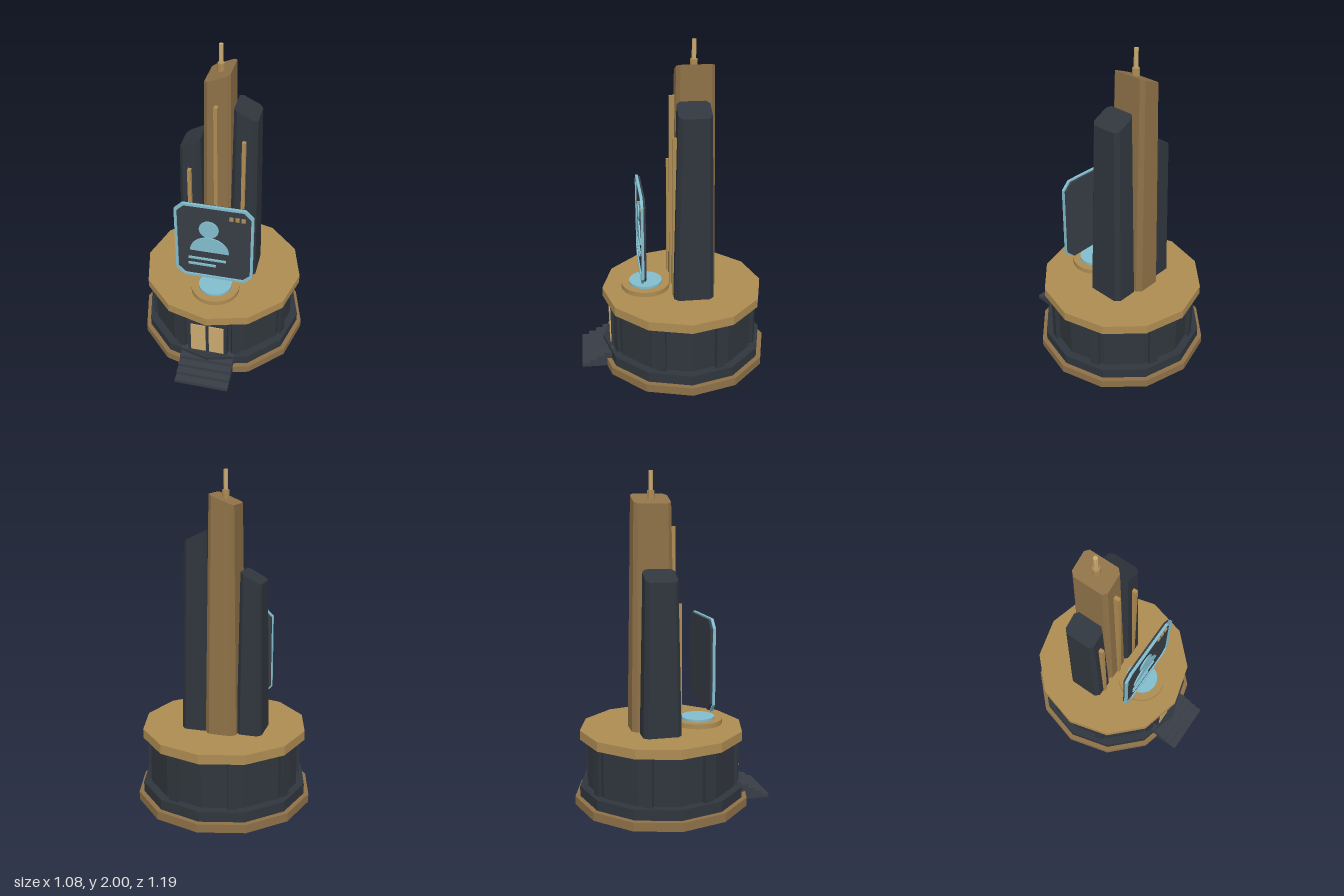
import * as THREE from 'three';
import { toCreasedNormals } from 'three/addons/utils/BufferGeometryUtils.js';

const flat = (name, color) => {
  const m = new THREE.MeshStandardMaterial({ color });
  m.name = name;
  return m;
};

export function createModel() {
  const bronze = flat('bronze', 0x8e7148);
  const gold = flat('gold', 0xae8c52);
  const paleGold = flat('pale gold', 0xcaa970);
  const charcoal = flat('charcoal', 0x30363d);
  const slate = flat('slate', 0x383d46);
  const cyan = flat('cyan', 0x82bdcd);

  const model = new THREE.Group();
  model.name = 'towerMonument';
  const CZ = -0.055; // centre of the round podium

  const add = (name, geometry, material, x = 0, y = 0, z = 0) => {
    const mesh = new THREE.Mesh(toCreasedNormals(geometry, 0.4), material);
    mesh.name = name;
    mesh.position.set(x, y, z);
    model.add(mesh);
    return mesh;
  };
  // Box given by its extents
  const box = (name, material, x0, x1, y0, y1, z0, z1) =>
    add(name, new THREE.BoxGeometry(x1 - x0, y1 - y0, z1 - z0), material,
      (x0 + x1) / 2, (y0 + y1) / 2, (z0 + z1) / 2);
  // Upright disc from y0 to y1
  const disc = (name, material, r, y0, y1, sides, x = 0, z = CZ) =>
    add(name, new THREE.CylinderGeometry(r, r, y1 - y0, sides), material, x, (y0 + y1) / 2, z);
  // Rectangle with cut corners
  const cutRect = (w, h, c, Type = THREE.Shape) => new Type([
    [-w + c, -h], [w - c, -h], [w, -h + c], [w, h - c],
    [w - c, h], [-w + c, h], [-w, h - c], [-w, -h + c],
  ].map(([x, y]) => new THREE.Vector2(x, y)));
  const extrude = (shape, depth) =>
    new THREE.ExtrudeGeometry(shape, { depth, bevelEnabled: false, curveSegments: 24 });

  // Twelve-sided podium
  disc('basePlinth', bronze, 0.54, 0, 0.052, 12);
  disc('lowerRing', charcoal, 0.51, 0.052, 0.115, 12);
  disc('podiumWall', charcoal, 0.46, 0.115, 0.408, 12);
  disc('podiumRoof', gold, 0.505, 0.408, 0.465, 12);

  // Eight wall pillars
  for (let i = 0; i < 8; i++) {
    const a = (i + 0.5) * Math.PI / 4;
    const pillar = add('wallPillar', new THREE.BoxGeometry(0.055, 0.293, 0.055), charcoal,
      Math.sin(a) * 0.445, 0.2615, CZ + Math.cos(a) * 0.445);
    pillar.rotation.y = a;
  }

  // Entrance
  box('doorFrame', charcoal, -0.125, 0.125, 0.1, 0.38, 0.3, 0.407);
  for (const s of [-1, 1]) {
    add('doorPanel', new THREE.BoxGeometry(0.095, 0.225, 0.008), paleGold, s * 0.058, 0.243, 0.41);
  }
  for (let i = 0; i < 5; i++) {
    box('step', slate, -0.17, 0.17, i * 0.0235, (i + 1) * 0.0235, 0.38, 0.595 - i * 0.046);
  }

  // Tapered towers with cut corners and slanted tops
  const tower = (name, material, x, z, base, top, cut, yLeft, yRight) => {
    const g = extrude(cutRect(base[0], base[1], cut), 1);
    g.rotateX(-Math.PI / 2);
    const p = g.attributes.position;
    for (let i = 0; i < p.count; i++) {
      const t = p.getY(i);
      const px = p.getX(i) * (t > 0.5 ? top[0] / base[0] : 1);
      const pz = p.getZ(i) * (t > 0.5 ? top[1] / base[1] : 1);
      const roof = (yLeft + yRight) / 2 + (yRight - yLeft) / 2 * px / top[0];
      p.setXYZ(i, px, t > 0.5 ? roof : 0.46, pz);
    }
    add(name, g, material, x, 0, z);
  };
  tower('centreTower', bronze, -0.032, -0.125, [0.094, 0.135], [0.074, 0.111], 0.027, 1.81, 1.87);
  tower('rightTower', charcoal, -0.196, -0.105, [0.077, 0.115], [0.062, 0.096], 0.025, 1.37, 1.437);
  tower('leftTower', charcoal, 0.134, -0.105, [0.088, 0.122], [0.069, 0.097], 0.027, 1.667, 1.6);

  // Light strips on the tower fronts
  for (const [x, top] of [[-0.032, 1.68], [-0.195, 1.24], [0.133, 1.475]]) {
    box('towerStrip', gold, x - 0.011, x + 0.011, 0.465, top, -0.025, 0.022);
  }

  // Antenna
  disc('antennaCollar', gold, 0.022, 1.8, 1.888, 8, -0.03, -0.122);
  disc('antennaRod', paleGold, 0.013, 1.85, 2, 8, -0.03, -0.122);

  // Projector pedestal
  disc('projectorPedestal', gold, 0.152, 0.465, 0.495, 24, 0, 0.177);
  disc('projectorLens', cyan, 0.104, 0.495, 0.51, 32, 0, 0.177);

  // Floating display panel
  const SY = 0.865;
  add('displayPanel', extrude(cutRect(0.232, 0.272, 0.048), 0.02), slate, 0, SY, 0.187);
  const rim = cutRect(0.24, 0.28, 0.05);
  rim.holes.push(cutRect(0.224, 0.264, 0.044, THREE.Path));
  add('displayRim', extrude(rim, 0.016), cyan, 0, SY, 0.2);

  // Portrait icon and lines on the display
  const head = new THREE.Shape().absarc(0, 0, 0.06, 0, Math.PI * 2);
  add('iconHead', extrude(head, 0.009), cyan, -0.03, 0.967, 0.207);
  const bust = new THREE.Shape().absellipse(0, 0, 0.12, 0.108, 0, Math.PI);
  add('iconShoulders', extrude(bust, 0.009), cyan, -0.028, 0.795, 0.207);
  box('textBar', cyan, -0.16, 0.075, 0.725, 0.738, 0.207, 0.216);
  box('textBar', cyan, -0.16, 0.012, 0.678, 0.692, 0.207, 0.216);
  for (let i = 0; i < 3; i++) {
    const x = 0.106 + i * 0.036;
    box('indicator', gold, x - 0.012, x + 0.012, 1.058, 1.082, 0.207, 0.216);
  }

  return model;
}
